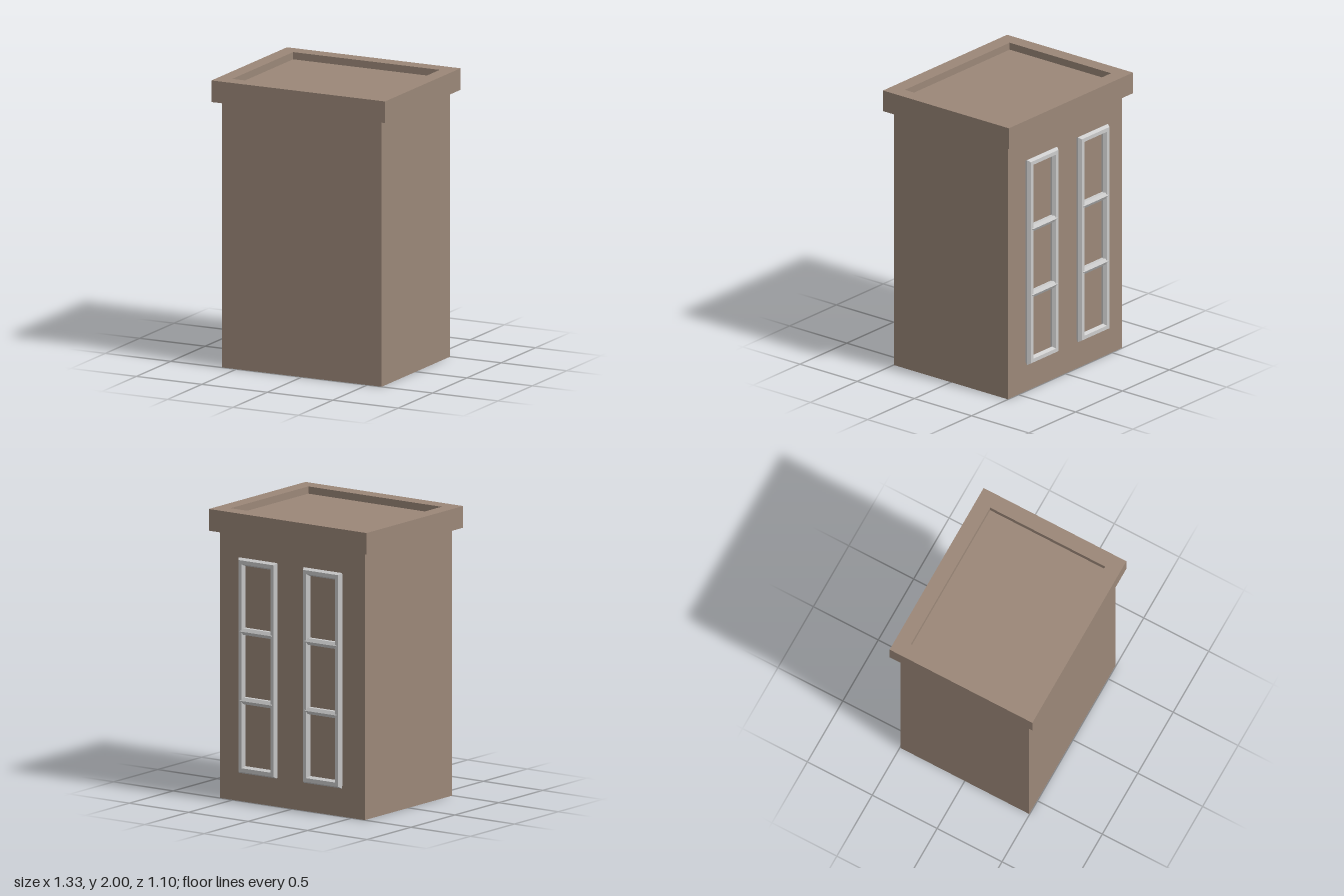
import * as THREE from 'three';

const brown = new THREE.MeshStandardMaterial({ color: 0x9b8778 });
const grey = new THREE.MeshStandardMaterial({ color: 0xcccccc, flatShading: true });

function add(parent, name, geometry, material, x = 0, y = 0, z = 0) {
  const mesh = new THREE.Mesh(geometry, material);
  mesh.name = name;
  mesh.position.set(x, y, z);
  parent.add(mesh);
  return mesh;
}

// Centred rectangle of half sizes w, h
function rect(PathType, w, h) {
  const p = new PathType();
  p.moveTo(-w, -h).lineTo(w, -h).lineTo(w, h).lineTo(-w, h).closePath();
  return p;
}

function frameShape(w, h, innerW, innerH) {
  const shape = rect(THREE.Shape, w, h);
  shape.holes.push(rect(THREE.Path, innerW, innerH));
  return shape;
}

// Window of mitred hexagonal bars, centred on its own origin
function createWindow() {
  const win = new THREE.Group();
  const w = 0.161, h = 0.745; // outer half sizes
  const r = 0.0266;           // bar radius
  const half = r * Math.sqrt(3) / 2;
  const bevel = r / 2;

  const frame = new THREE.ExtrudeGeometry(
    frameShape(w - bevel, h - bevel, w - 3 * bevel, h - 3 * bevel),
    { depth: 0.0004, bevelEnabled: true, bevelThickness: half, bevelSize: bevel, bevelSegments: 1 });
  add(win, 'windowFrame', frame, grey);

  // Two crossbars split the opening into three panes
  for (const side of [-1, 1]) {
    const bar = new THREE.CylinderGeometry(r, r, 2 * (w - r), 6, 1);
    bar.rotateZ(Math.PI / 2);
    add(win, 'crossbar', bar, grey, 0, side * (h - r) / 3);
  }
  return win;
}

export function createModel() {
  const model = new THREE.Group();
  model.name = 'building';

  add(model, 'walls', new THREE.BoxGeometry(1.22, 1.85, 0.994), brown, 0, 0.925, 0);

  // Overhanging parapet around a sunken roof
  const parapet = new THREE.ExtrudeGeometry(
    frameShape(0.663, 0.55, 0.56, 0.443), { depth: 0.15, bevelEnabled: false });
  parapet.rotateX(-Math.PI / 2);
  add(model, 'parapet', parapet, brown, 0, 1.85, 0);
  add(model, 'roof', new THREE.BoxGeometry(1.12, 0.1, 0.886), brown, 0, 1.9, 0);

  // Pair of tall windows on the back wall
  for (const side of [-1, 1]) {
    const win = createWindow();
    win.name = side > 0 ? 'leftWindow' : 'rightWindow';
    win.position.set(side * 0.272, 0.945, -0.52);
    model.add(win);
  }
  return model;
}
